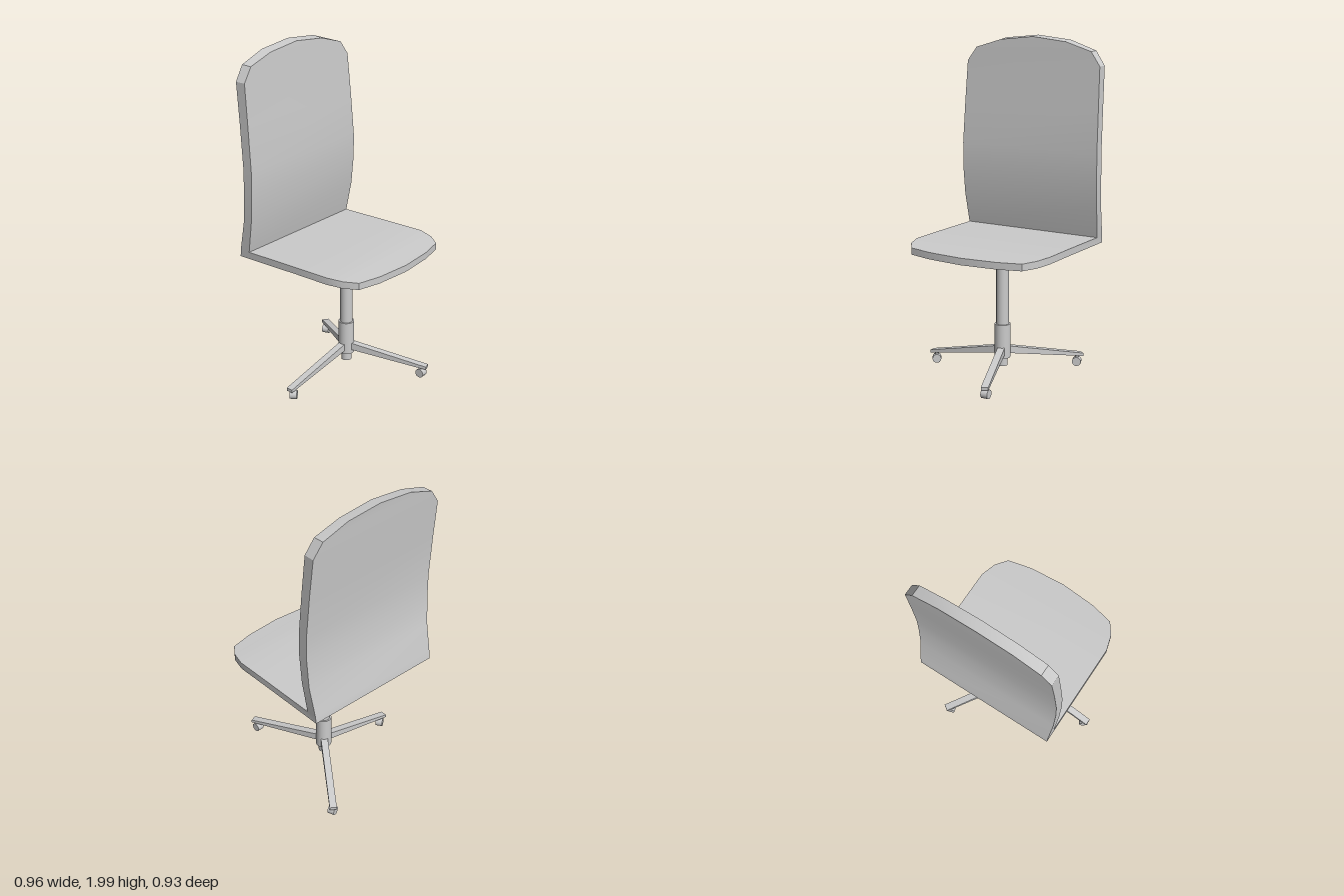
import * as THREE from 'three';
import { toCreasedNormals } from 'three/addons/utils/BufferGeometryUtils.js';

const material = new THREE.MeshStandardMaterial({ color: 0xcccccc });

function add(parent, geometry, name, x = 0, y = 0, z = 0) {
  const mesh = new THREE.Mesh(geometry, material);
  mesh.name = name;
  mesh.position.set(x, y, z);
  parent.add(mesh);
  return mesh;
}

// Four-cornered loft; each row is [halfWidth, upperZ, upperY, lowerZ, lowerY]
function loft(rows) {
  const pos = [], index = [];
  rows.forEach(([w, z1, y1, z2, y2], i) => {
    pos.push(-w, y1, z1, w, y1, z1, w, y2, z2, -w, y2, z2);
    if (i === rows.length - 1) return;
    for (let k = 0; k < 4; k++) {
      const a = i * 4 + k, b = i * 4 + (k + 1) % 4;
      index.push(a, b, b + 4, a, b + 4, a + 4);
    }
  });
  const e = (rows.length - 1) * 4;
  index.push(0, 3, 2, 0, 2, 1, e, e + 1, e + 2, e, e + 2, e + 3);
  const g = new THREE.BufferGeometry();
  g.setAttribute('position', new THREE.Float32BufferAttribute(pos, 3));
  g.setIndex(index);
  return toCreasedNormals(g, 0.45);
}

export function createModel() {
  const chair = new THREE.Group();
  chair.name = 'swivelChair';

  // Seat and back are one bent shell, from the seat's front edge to the top of the back
  add(chair, loft([
    [0.002, 0.422, 0.825, 0.422, 0.785],
    [0.22, 0.405, 0.826, 0.405, 0.786],
    [0.363, 0.372, 0.828, 0.372, 0.788],
    [0.415, 0.3, 0.835, 0.3, 0.794],
    [0.443, 0.205, 0.841, 0.205, 0.8],
    [0.443, 0, 0.84, 0, 0.799],
    [0.443, -0.375, 0.835, -0.445, 0.793],
    [0.444, -0.374, 0.84, -0.44, 0.838],
    [0.453, -0.342, 1.02, -0.4, 1.02],
    [0.457, -0.327, 1.2, -0.387, 1.2],
    [0.456, -0.326, 1.34, -0.386, 1.34],
    [0.451, -0.346, 1.6, -0.407, 1.6],
    [0.445, -0.367, 1.838, -0.431, 1.838],
    [0.386, -0.372, 1.92, -0.438, 1.922],
    [0.22, -0.376, 1.97, -0.442, 1.978],
    [0.002, -0.378, 1.993, -0.445, 2],
  ]), 'seatAndBack', 0.022);

  const base = new THREE.Group();
  base.name = 'base';
  base.position.set(0.03, 0, -0.02);
  chair.add(base);

  // Column: post, collar and lower stub
  add(base, new THREE.CylinderGeometry(0.037, 0.037, 0.48, 24), 'post', 0, 0.56);
  add(base, new THREE.CylinderGeometry(0.047, 0.047, 0.205, 24), 'collar', 0, 0.2325);
  add(base, new THREE.CylinderGeometry(0.031, 0.031, 0.06, 24), 'stub', 0, 0.11);

  // Three sloping legs with casters: [dx, dz, end height, caster swivel]
  [
    [-0.51, -0.01, 0.086, 0.6],
    [0.17, 0.48, 0.12, -0.3],
    [0.31, -0.43, 0.086, -0.6],
  ].forEach(([dx, dz, top, swivel], i) => {
    const leg = new THREE.Group();
    leg.name = 'leg' + (i + 1);
    leg.rotation.y = Math.atan2(dx, dz);
    base.add(leg);
    const len = Math.hypot(dx, dz);
    add(leg, loft([
      [0.021, len, top, len, top - 0.018],
      [0.021, 0.02, 0.2, 0.02, 0.155],
    ]), 'legBar');

    const caster = new THREE.Group();
    caster.name = 'caster';
    caster.position.set(0, top - 0.05, len - 0.035);
    caster.rotation.y = swivel;
    leg.add(caster);
    add(caster, new THREE.CylinderGeometry(0.011, 0.011, 0.05, 10), 'casterStem', 0, 0.025);
    add(caster, new THREE.CylinderGeometry(0.027, 0.027, 0.042, 14), 'casterWheel')
      .rotation.z = Math.PI / 2;
  });

  return chair;
}
